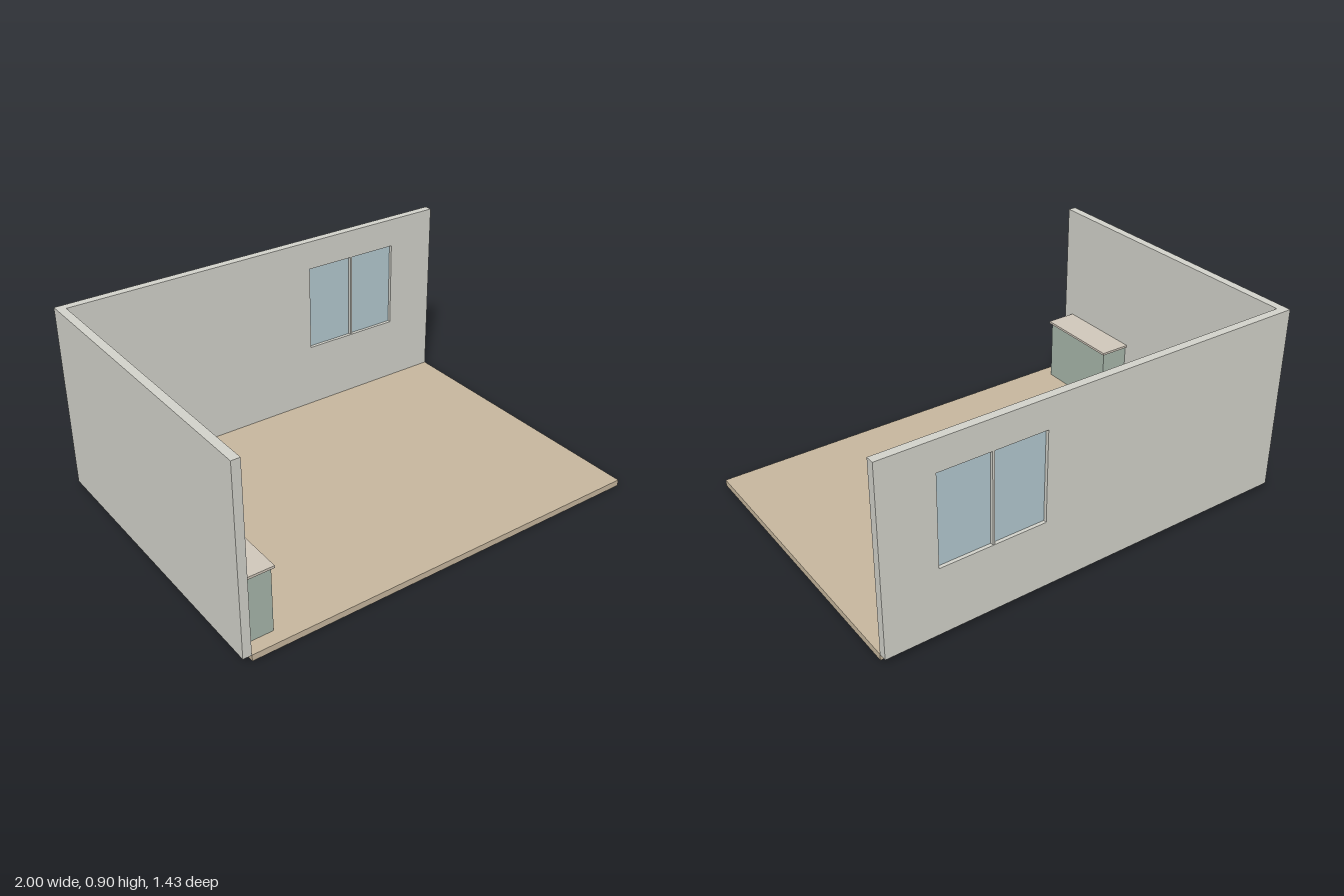
import * as THREE from 'three';

const BASE = 0.03, TOP = 0.905;            // floor surface and wall top
const WIN = { x0: 0.262, x1: 0.754, y0: 0.345, y1: 0.766 };

const material = (color) => new THREE.MeshStandardMaterial({ color });

// Box given by its minimum and maximum corners
function box(name, mat, [x0, y0, z0], [x1, y1, z1]) {
  const mesh = new THREE.Mesh(new THREE.BoxGeometry(x1 - x0, y1 - y0, z1 - z0), mat);
  mesh.position.set((x0 + x1) / 2, (y0 + y1) / 2, (z0 + z1) / 2);
  mesh.name = name;
  return mesh;
}

// Counter-clockwise or clockwise rectangle outline
function rectangle(target, x0, y0, x1, y1) {
  target.moveTo(x0, y0);
  target.lineTo(x1, y0);
  target.lineTo(x1, y1);
  target.lineTo(x0, y1);
  target.closePath();
  return target;
}

export function createModel() {
  const room = new THREE.Group();
  room.name = 'room';

  const wallMat = material(0xd4d4cc);
  const floorMat = material(0xc8b89f);
  const cabinetMat = material(0xa9b8ac);
  const counterMat = material(0xd2c9bc);
  const glassMat = material(0xb5cbd2);

  // Floor slab
  room.add(box('floor', floorMat, [-0.96, 0, -0.68], [1, BASE, 0.717]));

  // Back wall with a window opening
  const outline = rectangle(new THREE.Shape(), -1, BASE, 1, TOP);
  outline.holes.push(rectangle(new THREE.Path(), WIN.x0, WIN.y0, WIN.x1, WIN.y1));
  const backWall = new THREE.Mesh(
    new THREE.ExtrudeGeometry(outline, { depth: 0.038, bevelEnabled: false }), wallMat);
  backWall.position.z = -0.718;
  backWall.name = 'backWall';
  room.add(backWall);

  // Side wall
  room.add(box('sideWall', wallMat, [-1, BASE, -0.68], [-0.961, TOP, 0.717]));

  // Window: two panes either side of a slim mullion, set mid-wall
  const windowGroup = new THREE.Group();
  windowGroup.name = 'window';
  const mid = (WIN.x0 + WIN.x1) / 2, half = 0.005;
  for (const [name, a, b] of [['rightPane', WIN.x0, mid - half], ['leftPane', mid + half, WIN.x1]]) {
    windowGroup.add(box(name, glassMat, [a, WIN.y0, -0.702], [b, WIN.y1, -0.696]));
  }
  windowGroup.add(box('mullion', wallMat, [mid - half, WIN.y0, -0.716], [mid + half, WIN.y1, -0.682]));
  room.add(windowGroup);

  // Low cabinet with an overhanging countertop
  const cabinet = new THREE.Group();
  cabinet.name = 'cabinet';
  cabinet.add(box('cabinetBody', cabinetMat, [-0.961, BASE, 0.235], [-0.822, 0.332, 0.65]));
  cabinet.add(box('countertop', counterMat, [-0.961, 0.332, 0.225], [-0.811, 0.343, 0.659]));
  room.add(cabinet);

  return room;
}
